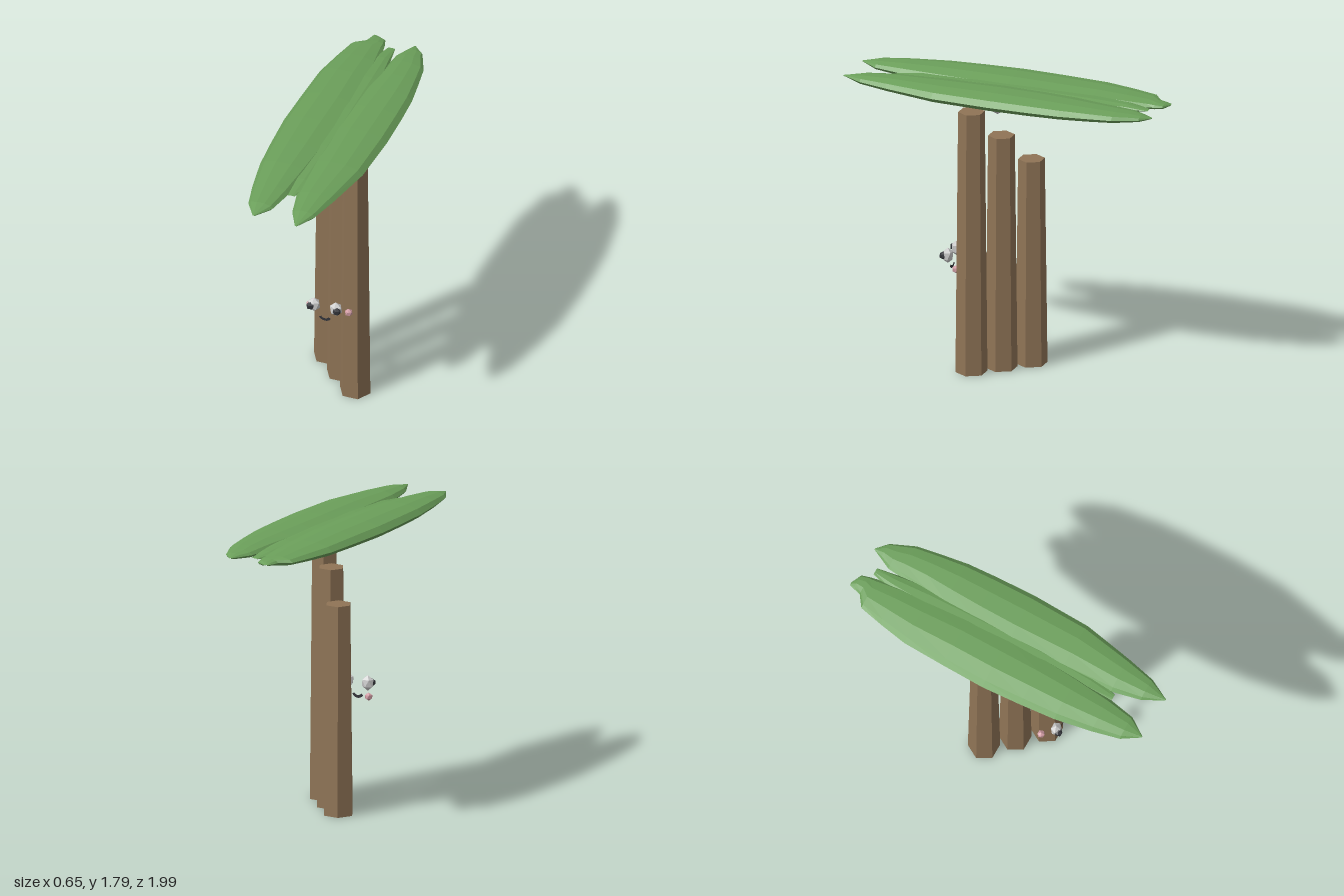
import * as THREE from 'three';

const material = (color, side = THREE.FrontSide) =>
  new THREE.MeshStandardMaterial({ color, flatShading: true, side });

const bark = material(0x8f7456);
const leaf = material(0x6b9f5a);
const grey = material(0xcccccc);
const dark = material(0x33343a, THREE.DoubleSide);
const pink = material(0xcf9aa2);

function add(parent, name, geometry, mat, x = 0, y = 0, z = 0) {
  const mesh = new THREE.Mesh(geometry, mat);
  mesh.name = name;
  mesh.position.set(x, y, z);
  parent.add(mesh);
  return mesh;
}

// Twenty-sided ball standing on a corner
function ball(radius) {
  return new THREE.IcosahedronGeometry(radius, 0)
    .rotateZ(Math.atan(2 / (1 + Math.sqrt(5))))
    .rotateY(Math.PI / 2);
}

// Lens-shaped frond lofted through stations [z, xMin, xMax], front to back
function frond(stations, thickness, sides = 10) {
  const positions = [], index = [];
  const zs = stations.map((s) => s[0]);
  const mid = (zs[0] + zs[zs.length - 1]) / 2;
  const half = (zs[0] - zs[zs.length - 1]) / 2;
  stations.forEach(([z, x0, x1], i) => {
    const t = (z - mid) / half;
    const h = Math.max(0.003, thickness * Math.sqrt(Math.max(0, 1 - t * t)));
    for (let j = 0; j < sides; j++) {
      const a = (j / sides) * Math.PI * 2;
      positions.push((x0 + x1) / 2 + ((x1 - x0) / 2) * Math.cos(a), h * Math.sin(a), z);
      if (i === stations.length - 1) continue;
      const k = (j + 1) % sides;
      const p = i * sides, q = p + sides;
      index.push(p + j, q + j, p + k, p + k, q + j, q + k);
    }
  });
  const geometry = new THREE.BufferGeometry();
  geometry.setAttribute('position', new THREE.Float32BufferAttribute(positions, 3));
  geometry.setIndex(index);
  geometry.computeVertexNormals();
  return geometry;
}

export function createModel() {
  const model = new THREE.Group();
  model.name = 'steppedPalm';

  // Three six-sided trunks stepping up along a diagonal
  const trunks = new THREE.Group();
  trunks.name = 'trunks';
  model.add(trunks);
  ['shortTrunk', 'middleTrunk', 'tallTrunk'].forEach((name, i) => {
    const height = 1.29 + i * 0.176;
    const geometry = new THREE.CylinderGeometry(0.08, 0.096, height, 6, 1, false, Math.PI / 6);
    add(trunks, name, geometry, bark, -0.09 + i * 0.136, height / 2, -0.122 + i * 0.137);
  });

  // Canopy: two long side fronds and a shorter one between them
  const canopy = new THREE.Group();
  canopy.name = 'canopy';
  canopy.position.y = 1.735;
  model.add(canopy);
  add(canopy, 'rightFrond', frond([
    [0.98, -0.15, -0.142], [0.87, -0.22, -0.065], [0.7, -0.26, -0.03], [0.47, -0.3, 0.0],
    [0.25, -0.317, 0.02], [0, -0.33, 0.03], [-0.27, -0.322, 0.03], [-0.54, -0.31, 0.01],
    [-0.72, -0.275, -0.01], [-0.87, -0.24, -0.035], [-0.92, -0.17, -0.045],
    [-0.97, -0.155, -0.06], [-1, -0.146, -0.125],
  ], 0.056), leaf);
  add(canopy, 'leftFrond', frond([
    [0.99, 0.122, 0.13], [0.86, 0.055, 0.2], [0.68, 0.015, 0.245], [0.36, -0.01, 0.31],
    [0, -0.03, 0.325], [-0.25, -0.02, 0.32], [-0.45, 0.0, 0.31], [-0.62, 0.03, 0.285],
    [-0.77, 0.045, 0.26], [-0.85, 0.055, 0.225], [-0.92, 0.09, 0.195], [-0.98, 0.12, 0.13],
  ], 0.053), leaf);
  add(canopy, 'middleFrond', frond([
    [0.71, -0.03, 0.01], [0.55, -0.08, 0.06], [0.2, -0.12, 0.1], [-0.2, -0.12, 0.1],
    [-0.55, -0.1, 0.08], [-0.78, -0.06, 0.045], [-0.91, -0.02, 0.025],
  ], 0.038), leaf);

  // Nut hanging under the canopy
  add(model, 'nut', ball(0.054), grey, 0, 1.63, 0.06);

  // Floating face
  const face = new THREE.Group();
  face.name = 'face';
  face.position.set(0.056, 0.69, 0.325);
  model.add(face);
  for (const [side, s] of [['right', -1], ['left', 1]]) {
    add(face, side + 'Eye', ball(0.048), grey, s * 0.07, 0, 0).scale.set(0.86, 1, 0.7);
    add(face, side + 'Pupil', ball(0.026), dark, s * 0.084, 0, 0.023);
    add(face, side + 'Cheek', ball(0.025), pink, s * 0.123, -0.06, -0.073);
  }
  const smile = new THREE.RingGeometry(0.028, 0.045, 8, 1, Math.PI * 1.18, Math.PI * 0.64);
  add(face, 'smile', smile, dark, 0, -0.057, 0);

  return model;
}
